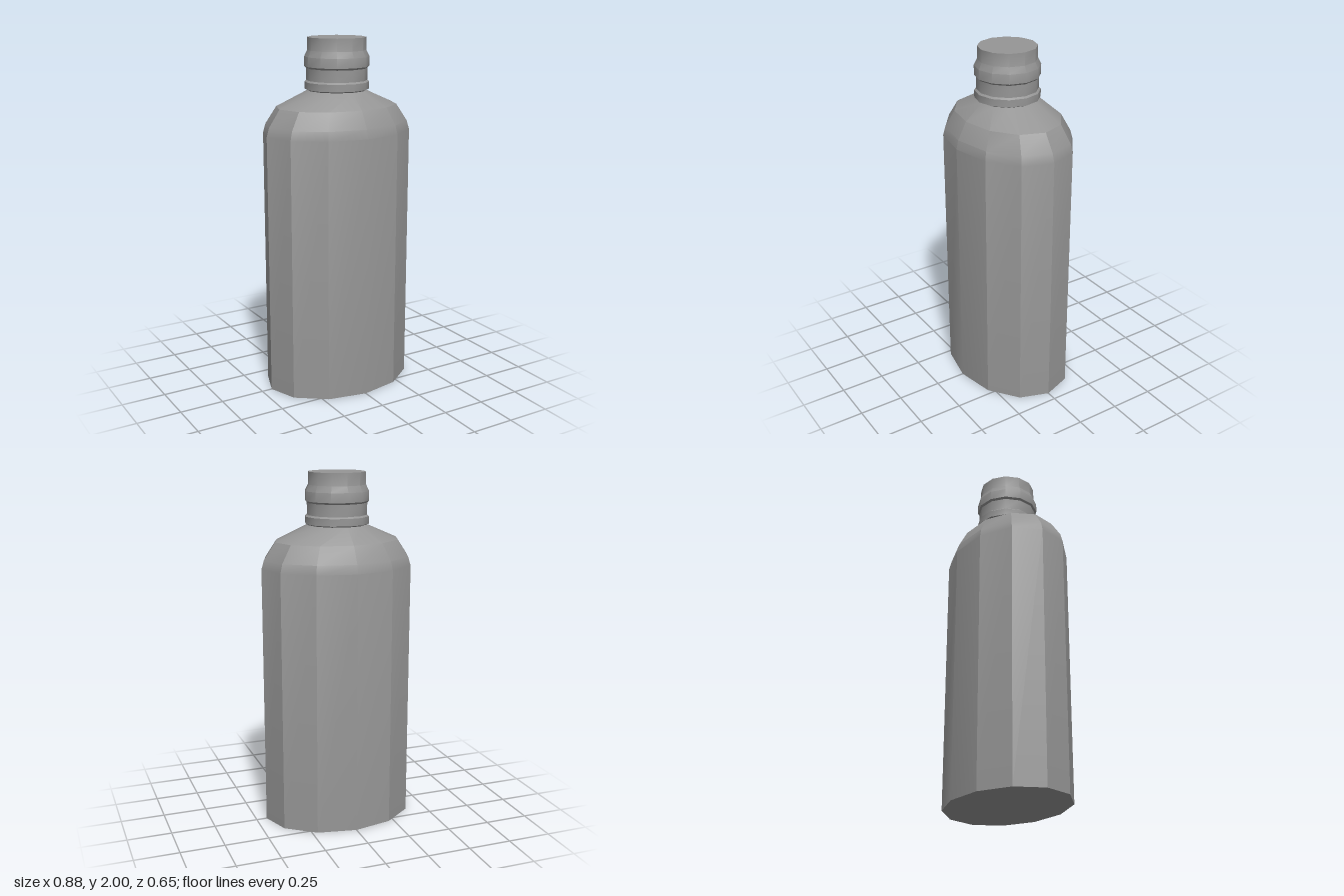
import * as THREE from 'three';
import { toCreasedNormals } from 'three/addons/utils/BufferGeometryUtils.js';

const SIDES = 12;

// Skin elliptical rings [rx, rz, y], listed from bottom to top, with optional end caps.
function loft(rings, crease, capBottom, capTop) {
  const pos = [], index = [];
  for (const [rx, rz, y] of rings) {
    for (let i = 0; i < SIDES; i++) {
      const t = (i / SIDES) * Math.PI * 2;
      pos.push(rx * Math.sin(t), y, rz * Math.cos(t));
    }
  }
  const last = (rings.length - 1) * SIDES;
  for (let r = 0; r < last; r += SIDES) {
    for (let i = 0; i < SIDES; i++) {
      const j = (i + 1) % SIDES;
      index.push(r + i, r + j, r + SIDES + j, r + i, r + SIDES + j, r + SIDES + i);
    }
  }
  const cap = (start, y, up) => {
    const c = pos.length / 3;
    pos.push(0, y, 0);
    for (let i = 0; i < SIDES; i++) {
      const a = start + i, b = start + (i + 1) % SIDES;
      index.push(c, up ? a : b, up ? b : a);
    }
  };
  if (capBottom) cap(0, rings[0][2], false);
  if (capTop) cap(last, rings[rings.length - 1][2], true);

  const geometry = new THREE.BufferGeometry();
  geometry.setAttribute('position', new THREE.Float32BufferAttribute(pos, 3));
  geometry.setIndex(index);
  return toCreasedNormals(geometry, crease);
}

export function createModel() {
  const group = new THREE.Group();
  const material = new THREE.MeshStandardMaterial({ color: 0x969696 });
  const add = (name, geometry) => {
    const mesh = new THREE.Mesh(geometry, material);
    mesh.name = name;
    group.add(mesh);
  };

  // Oval body with rounded shoulders narrowing to a round neck
  add('body', loft([
    [0.44, 0.327, 0],
    [0.44, 0.327, 1.48],
    [0.425, 0.315, 1.53],
    [0.36, 0.265, 1.625],
    [0.165, 0.165, 1.71],
  ], 0.42, true, false));

  // Neck: collar ring, recess, thread bead and mouth
  const neck = [
    [0.165, 1.71], [0.18, 1.717], [0.18, 1.757], [0.17, 1.766], [0.17, 1.832],
    [0.18, 1.842], [0.18, 1.895], [0.163, 1.93], [0.162, 2],
  ];
  add('neck', loft(neck.map(([r, y]) => [r, r, y]), 0.55, false, true));

  return group;
}
